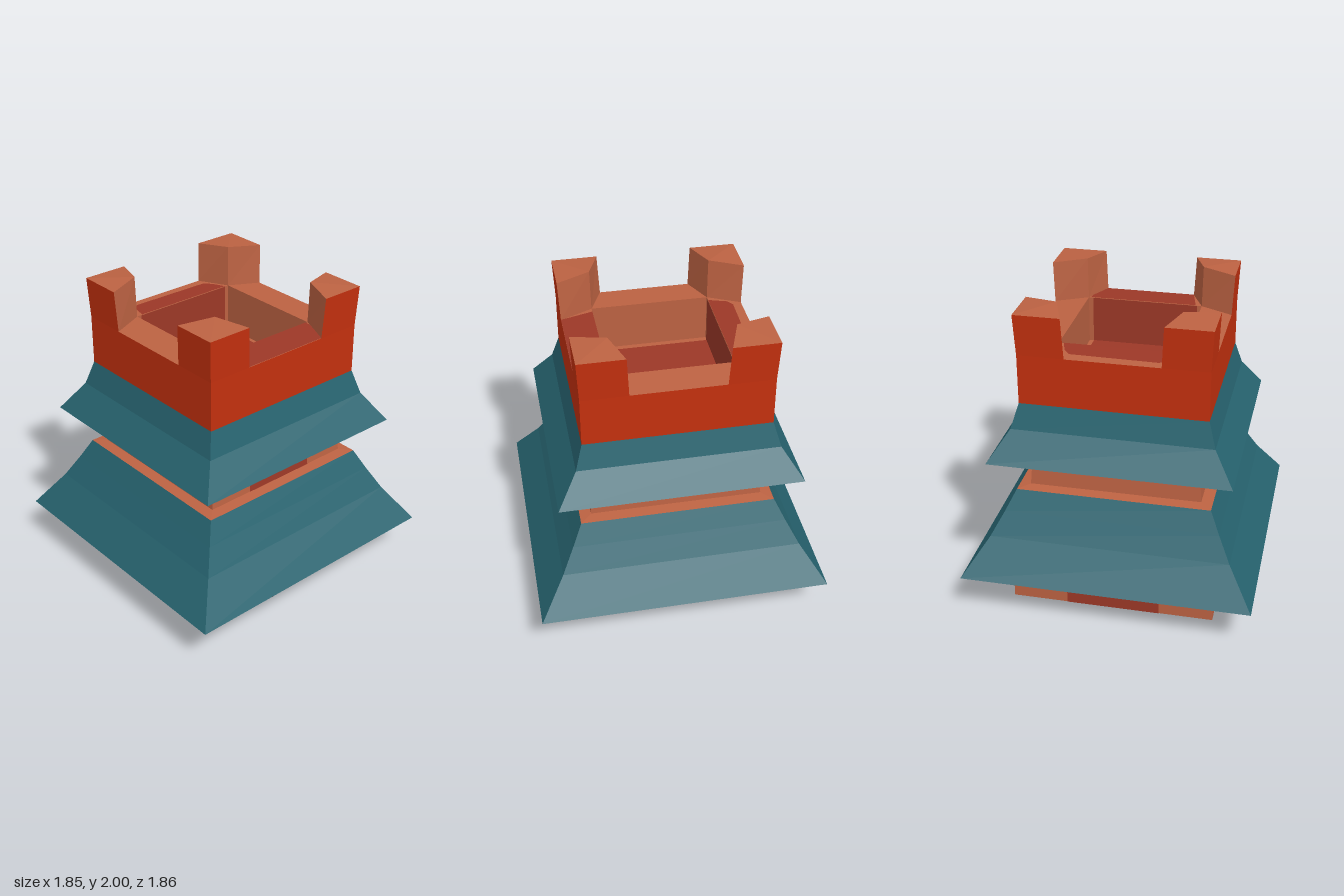
import * as THREE from 'three';

const mat = (name, color) => {
  const m = new THREE.MeshStandardMaterial({ color });
  m.name = name;
  return m;
};

// Flat-shaded mesh from convex polygons, optionally lifted along their normals
function faces(name, material, polys, lift = 0) {
  const pos = [];
  for (const poly of polys) {
    const p = poly.map(v => new THREE.Vector3(...v));
    const n = new THREE.Vector3().crossVectors(p[1].clone().sub(p[0]), p[2].clone().sub(p[0])).normalize();
    p.forEach(v => v.addScaledVector(n, lift));
    for (let i = 1; i < p.length - 1; i++) {
      for (const v of [p[0], p[i], p[i + 1]]) pos.push(v.x, v.y, v.z);
    }
  }
  const g = new THREE.BufferGeometry();
  g.setAttribute('position', new THREE.Float32BufferAttribute(pos, 3));
  g.computeVertexNormals();
  const mesh = new THREE.Mesh(g, material);
  mesh.name = name;
  return mesh;
}

// Turn a polygon about y by k quarter turns
const turn = (poly, k) => poly.map(([x, y, z]) => {
  for (let i = 0; i < k; i++) [x, z] = [z, -x];
  return [x, y, z];
});
const around = (polys, ks = [0, 1, 2, 3]) => ks.flatMap(k => polys.map(p => turn(p, k)));

// Four-sided skirt through [halfWidth, y] sections
function skirt(sections) {
  const sides = [];
  for (let i = 0; i < sections.length - 1; i++) {
    const [a, y0] = sections[i], [b, y1] = sections[i + 1];
    sides.push([[-a, y0, a], [a, y0, a], [b, y1, b], [-b, y1, b]]);
  }
  return around(sides);
}

export function createModel() {
  const group = new THREE.Group();
  group.name = 'rookTower';
  const teal = mat('teal roof', 0x276470);
  const red = mat('red wall', 0xc4300e);
  const clay = mat('terracotta', 0xbc6242);
  const dark = mat('dark red stain', 0x9c3827);

  // Base block and its underside
  const base = skirt([[0.66, 0], [0.66, 0.18]]);
  base.push([[-0.66, 0, -0.66], [0.66, 0, -0.66], [0.66, 0, 0.66], [-0.66, 0, 0.66]]);
  group.add(faces('base', clay, base));

  // Lower roof, eaves and ledge
  group.add(faces('lowerEaves', clay, skirt([[0.66, 0.18], [0.927, 0.28]])));
  group.add(faces('lowerRoof', teal, skirt([[0.927, 0.28], [0.765, 0.52], [0.685, 0.67], [0.62, 0.802]])));
  group.add(faces('lowerLedge', clay, skirt([[0.62, 0.802], [0.548, 0.81]])));

  // Middle storey, upper eaves and upper roof
  group.add(faces('middleWall', clay, skirt([[0.548, 0.81], [0.535, 0.98]])));
  group.add(faces('upperEaves', clay, skirt([[0.535, 0.98], [0.765, 1.047]])));
  group.add(faces('upperRoof', teal, skirt([[0.765, 1.047], [0.635, 1.24], [0.588, 1.4]])));

  // Parapet outside with a merlon at each corner
  const w = 0.588, t = 0.6, i = 0.38, yWall = 1.72, yLip = 1.73, yTop = 1.983, yFloor = 1.42;
  group.add(faces('parapetWall', red, around([
    [[-w, 1.4, w], [w, 1.4, w], [w, yWall, w], [-w, yWall, w]],
    [[0.295, yWall, w], [w, yWall, w], [t, yTop, t], [0.308, yTop, t]],
    [[-w, yWall, w], [-0.295, yWall, w], [-0.308, yTop, t], [-t, yTop, t]],
  ])));
  group.add(faces('merlonInside', clay, around([
    [[t, yTop, t], [t, yTop, 0.308], [0.385, 2, 0.385], [0.308, yTop, t]],
    [[i, yLip, i], [0.295, yWall, w], [0.308, yTop, t], [0.385, 2, 0.385]],
    [[w, yWall, 0.295], [i, yLip, i], [0.385, 2, 0.385], [t, yTop, 0.308]],
  ])));

  // Wall tops and the sunken platform
  const pit = around([
    [[-0.295, yWall, w], [0.295, yWall, w], [i, yLip, i], [-i, yLip, i]],
    [[i, yFloor, i], [-i, yFloor, i], [-i, yLip, i], [i, yLip, i]],
  ]);
  pit.push([[-i, yFloor, i], [i, yFloor, i], [i, yFloor, -i], [-i, yFloor, -i]]);
  group.add(faces('platform', clay, pit));

  // Dark stains on the base, eaves and middle wall
  const lift = 0.003;
  group.add(faces('baseStain', dark, around([
    [[-0.3, 0, 0.66], [0.31, 0, 0.66], [0.31, 0.18, 0.66], [-0.3, 0.18, 0.66]],
  ]), lift));
  group.add(faces('undersideStain', dark, [
    [[-0.33, 0, -0.42], [-0.26, 0, -0.54], [0.26, 0, -0.54], [0.31, 0, -0.42],
      [0.31, 0, 0.6], [0.25, 0, 0.66], [-0.33, 0, 0.66]],
  ], 0.001));
  const eaveZ = y => 0.66 + (y - 0.18) * 2.67;
  group.add(faces('lowerEavesStain', dark, [
    [[-0.2, 0.18, 0.66], [0.3, 0.18, 0.66], [0.47, 0.24, eaveZ(0.24)], [0.47, 0.28, 0.927],
      [-0.38, 0.28, 0.927], [-0.22, 0.22, eaveZ(0.22)]],
    [[eaveZ(0.265), 0.265, 0.86], [eaveZ(0.215), 0.215, 0.74], [eaveZ(0.205), 0.205, 0.6],
      [eaveZ(0.215), 0.215, 0.3], [eaveZ(0.24), 0.24, -0.11], [eaveZ(0.25), 0.25, -0.11]],
  ], lift));
  group.add(faces('middleStain', dark, [
    [[-0.24, 0.81, 0.548], [0.26, 0.81, 0.548], [0.26, 0.98, 0.535], [-0.24, 0.98, 0.535]],
    [[-0.24, 0.98, 0.535], [0.26, 0.98, 0.535], [0.41, 1.047, 0.765], [-0.31, 1.047, 0.765]],
  ], lift));

  // Dark stain over the platform floor, inner walls and wall tops
  const slope = z => yLip - (z - i) * (yLip - yWall) / (w - i);
  const inner = [[0.35, yFloor, i], [-0.35, yFloor, i], [-0.35, yLip, i], [0.35, yLip, i]];
  group.add(faces('platformStain', dark, [
    [[-0.34, yFloor, i], [0.35, yFloor, i], [0.35, yFloor, -i], [-0.34, yFloor, -i]],
    ...around([inner], [0, 2]),
    [[-0.295, yWall, w], [0.295, yWall, w], [0.36, slope(0.43), 0.43], [0.365, yLip, i], [-0.34, yLip, i]],
    turn([[-0.28, slope(0.52), 0.52], [0.27, slope(0.53), 0.53], [0.31, slope(0.5), 0.5],
      [0.34, yLip, i], [-0.35, yLip, i], [-0.32, slope(0.47), 0.47]], 2),
  ], lift));

  return group;
}
